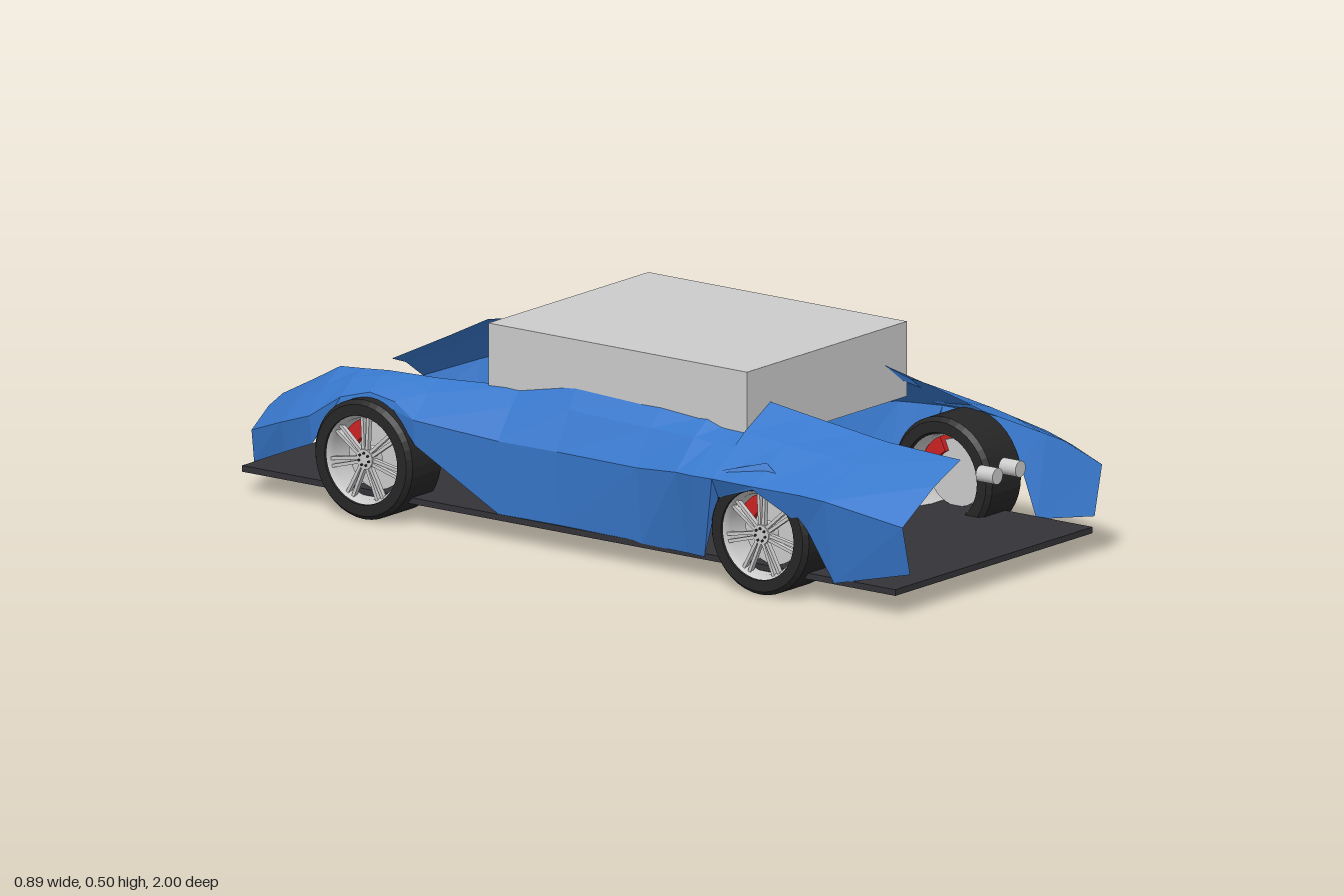
import * as THREE from 'three';

const mat = (color, side = THREE.FrontSide) =>
  new THREE.MeshStandardMaterial({ color, flatShading: true, side });
const blue = mat(0x3878cc, THREE.DoubleSide);
const dark = mat(0x333338), seatGrey = mat(0x46454c), rubber = mat(0x262626);
const red = mat(0xcc2222), grey = mat(0xcccccc);
const rimGrey = new THREE.MeshStandardMaterial({ color: 0xcccccc, side: THREE.DoubleSide });

function add(parent, name, geo, material, x = 0, y = 0, z = 0) {
  const m = new THREE.Mesh(geo, material);
  m.name = name;
  m.position.set(x, y, z);
  parent.add(m);
  return m;
}

// box given by its limits on each axis
function box(parent, name, material, [x0, x1], [y0, y1], [z0, z1]) {
  return add(parent, name, new THREE.BoxGeometry(x1 - x0, y1 - y0, z1 - z0), material,
    (x0 + x1) / 2, (y0 + y1) / 2, (z0 + z1) / 2);
}

// Side panel sections: z, then x,y of inner top, crease and lower edge
const sections = [
  [0.98, 0.16, 0.34, 0.384, 0.22, 0.355, 0.10],
  [0.78, 0.185, 0.358, 0.43, 0.262, 0.39, 0.055],
  [0.715, 0.195, 0.37, 0.435, 0.267, 0.41, 0.18],
  [0.58, 0.21, 0.393, 0.447, 0.27, 0.445, 0.262],
  [0.46, 0.22, 0.413, 0.445, 0.27, 0.42, 0.22],
  [0.459, 0.29, 0.362, 0.445, 0.27, 0.42, 0.22],
  [0.395, 0.29, 0.364, 0.44, 0.267, 0.39, 0.06],
  [0.34, 0.30, 0.375, 0.43, 0.265, 0.385, 0.06],
  [0.20, 0.30, 0.385, 0.40, 0.248, 0.38, 0.06],
  [-0.05, 0.30, 0.395, 0.385, 0.245, 0.375, 0.06],
  [-0.22, 0.30, 0.36, 0.39, 0.245, 0.378, 0.06],
  [-0.46, 0.305, 0.345, 0.405, 0.262, 0.40, 0.20],
  [-0.53, 0.305, 0.343, 0.385, 0.292, 0.39, 0.272],
  [-0.61, 0.303, 0.34, 0.378, 0.302, 0.38, 0.29],
  [-0.69, 0.30, 0.332, 0.388, 0.28, 0.392, 0.262],
  [-0.77, 0.285, 0.322, 0.405, 0.225, 0.395, 0.155],
  [-0.87, 0.255, 0.27, 0.385, 0.19, 0.37, 0.115],
  [-1.0, 0.21, 0.205, 0.33, 0.14, 0.32, 0.06],
];

function panelGeometry(side) {
  const pos = [], index = [];
  sections.forEach(([z, tx, ty, cx, cy, lx, ly], i) => {
    // the shoulder bulges slightly between the inner top and the crease
    const sx = THREE.MathUtils.lerp(tx, cx, 0.45), sy = THREE.MathUtils.lerp(ty, cy, 0.45) + 0.01;
    [[tx, ty], [sx, sy], [cx, cy], [lx, ly]].forEach(([x, y], j) => {
      pos.push(side * x, y, z);
      if (i === 0 || j === 0) return;
      const d = i * 4 + j, c = d - 1, b = d - 4, a = b - 1;
      if (side > 0) index.push(a, b, d, a, d, c);
      else index.push(a, d, b, a, c, d);
    });
  });
  const g = new THREE.BufferGeometry();
  g.setAttribute('position', new THREE.Float32BufferAttribute(pos, 3));
  g.setIndex(index);
  g.computeVertexNormals();
  return g;
}

// Lathe around the wheel axle (y before turning), points are [radius, offset]
const lathe = (pts) => new THREE.LatheGeometry(pts.map(([r, h]) => new THREE.Vector2(r, h)), 40);

// Wheel built with its axle on y, outer face at +y
function makeWheel(name, side, z) {
  const wheel = new THREE.Group();
  wheel.name = name;
  const spin = new THREE.Group();
  spin.name = 'wheelAndTyre';
  spin.rotation.z = -side * Math.PI / 2;
  wheel.add(spin);

  add(spin, 'tyre', lathe([[0.108, -0.067], [0.135, -0.067], [0.145, -0.055], [0.145, 0.055],
    [0.135, 0.067], [0.108, 0.067], [0.106, 0.05], [0.106, -0.05], [0.108, -0.067]]), rubber);
  add(spin, 'rimBarrel', lathe([[0.104, -0.06], [0.098, -0.03], [0.098, 0.045], [0.108, 0.062]]), rimGrey);
  add(spin, 'brakeDisc', new THREE.CylinderGeometry(0.082, 0.082, 0.012, 32), grey);
  add(spin, 'hub', new THREE.CylinderGeometry(0.024, 0.028, 0.035, 20), grey, 0, 0.037, 0);
  // twin spokes and wheel nuts
  for (let i = 0; i < 7; i++) {
    const arm = new THREE.Group();
    arm.name = 'spoke';
    arm.rotation.y = (i / 7) * Math.PI * 2;
    for (const s of [-1, 1]) {
      const bar = add(arm, 'spokeBar', new THREE.BoxGeometry(0.084, 0.012, 0.008), grey, 0.062, 0.046, s * 0.007);
      bar.rotation.y = -s * 0.05;
    }
    add(arm, 'wheelNut', new THREE.CylinderGeometry(0.003, 0.003, 0.006, 6), dark, 0.015, 0.056, 0);
    spin.add(arm);
  }
  // brake caliper, up and towards -z
  const arc = new THREE.Shape();
  arc.absarc(0, 0, 0.093, 0.35, 1.15, false);
  arc.absarc(0, 0, 0.055, 1.15, 0.35, true);
  const caliper = add(wheel, 'brakeCaliper',
    new THREE.ExtrudeGeometry(arc, { depth: 0.04, bevelEnabled: false, curveSegments: 8 }), red, -0.02, 0, 0);
  caliper.rotation.y = Math.PI / 2;
  wheel.position.set(side * 0.353, 0.145, z);
  return wheel;
}

export function createModel() {
  const car = new THREE.Group();
  car.name = 'car';

  box(car, 'floorPlate', dark, [-0.38, 0.38], [0.05, 0.065], [-0.99, 0.955]);
  box(car, 'cabin', grey, [-0.308, 0.308], [0.32, 0.502], [-0.312, 0.458]);
  box(car, 'dashboard', dark, [-0.295, 0.295], [0.205, 0.31], [-0.305, -0.18]);

  for (const side of [1, -1]) {
    const label = side > 0 ? 'left' : 'right';
    add(car, label + 'SidePanel', panelGeometry(side), blue);
    // small lip above the wheel near the exhausts
    const lip = new THREE.BufferGeometry().setFromPoints([
      new THREE.Vector3(side * 0.39, 0.317, 0.58), new THREE.Vector3(side * 0.395, 0.29, 0.62),
      new THREE.Vector3(side * 0.435, 0.275, 0.42)]);
    lip.computeVertexNormals();
    add(car, label + 'ArchLip', lip, blue);

    car.add(makeWheel(label + 'ExhaustEndWheel', side, 0.575));
    car.add(makeWheel(label + 'NoseEndWheel', side, -0.605));

    // seat
    const seat = new THREE.Group();
    seat.name = label + 'Seat';
    const cx = side * 0.188;
    box(seat, 'seatCushion', seatGrey, [cx - 0.09, cx + 0.09], [0.1, 0.14], [-0.02, 0.22]);
    box(seat, 'seatBack', seatGrey, [cx - 0.087, cx + 0.087], [0.12, 0.4], [0.17, 0.22]);
    car.add(seat);

    const pipe = add(car, label + 'Exhaust', new THREE.CylinderGeometry(0.02, 0.02, 0.05, 20), rimGrey,
      side * 0.044, 0.28, 0.975);
    pipe.rotation.x = Math.PI / 2;
  }
  return car;
}
